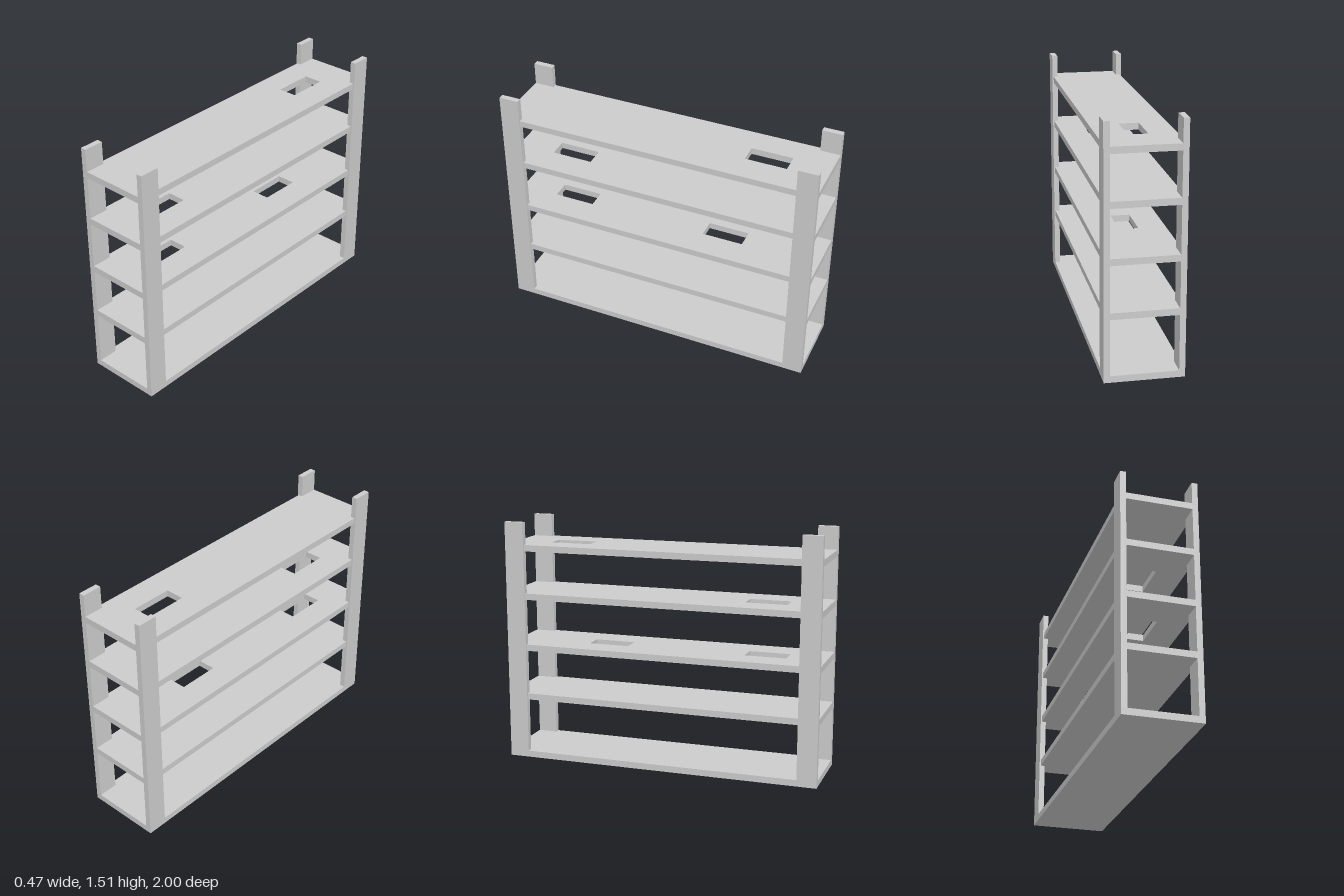
import * as THREE from 'three';

const material = new THREE.MeshStandardMaterial({ color: 0xcccccc, flatShading: true });

const HALF_W = 0.235, HALF_L = 1, HEIGHT = 1.51, BOARD = 0.04;
const POST_W = 0.035, POST_L = 0.123;
const SHELF_W = 0.227;

// Shelf board with notched corners around the posts and optional slots at the given z centres
function shelfGeometry(slots) {
  const xi = HALF_W - POST_W, zi = HALF_L - POST_L;
  const shape = new THREE.Shape([
    [-xi, -HALF_L], [xi, -HALF_L], [xi, -zi], [SHELF_W, -zi], [SHELF_W, zi], [xi, zi],
    [xi, HALF_L], [-xi, HALF_L], [-xi, zi], [-SHELF_W, zi], [-SHELF_W, -zi], [-xi, -zi],
  ].map(([x, z]) => new THREE.Vector2(x, z)));
  for (const z of slots) {
    const [x0, x1, z0, z1] = [-0.062, 0.054, z - 0.128, z + 0.128];
    shape.holes.push(new THREE.Path([[x0, z0], [x0, z1], [x1, z1], [x1, z0]]
      .map(([x, y]) => new THREE.Vector2(x, y))));
  }
  // Lay flat: shape y becomes z, thickness runs downward
  return new THREE.ExtrudeGeometry(shape, { depth: BOARD, bevelEnabled: false }).rotateX(Math.PI / 2);
}

export function createModel() {
  const group = new THREE.Group();
  const add = (name, geometry, x, y, z) => {
    const mesh = new THREE.Mesh(geometry, material);
    mesh.name = name;
    mesh.position.set(x, y, z);
    group.add(mesh);
  };

  // Base board
  add('base', new THREE.BoxGeometry(HALF_W * 2, BOARD, HALF_L * 2), 0, BOARD / 2, 0);

  // Four corner posts standing on the base
  const post = new THREE.BoxGeometry(POST_W, HEIGHT - BOARD, POST_L);
  for (const [sx, xName] of [[1, 'Left'], [-1, 'Right']]) {
    for (const [sz, zName] of [[1, 'front'], [-1, 'back']]) {
      add(zName + xName + 'Post', post,
        sx * (HALF_W - POST_W / 2), (HEIGHT + BOARD) / 2, sz * (HALF_L - POST_L / 2));
    }
  }

  // Shelves: top height and slot centres, from the lowest up
  const shelves = [
    [0.42, []],
    [0.738, [0.63, -0.383]],
    [1.065, [0.63]],
    [1.37, [-0.632]],
  ];
  shelves.forEach(([y, slots], i) => add('shelf' + (i + 1), shelfGeometry(slots), 0, y, 0));

  return group;
}
